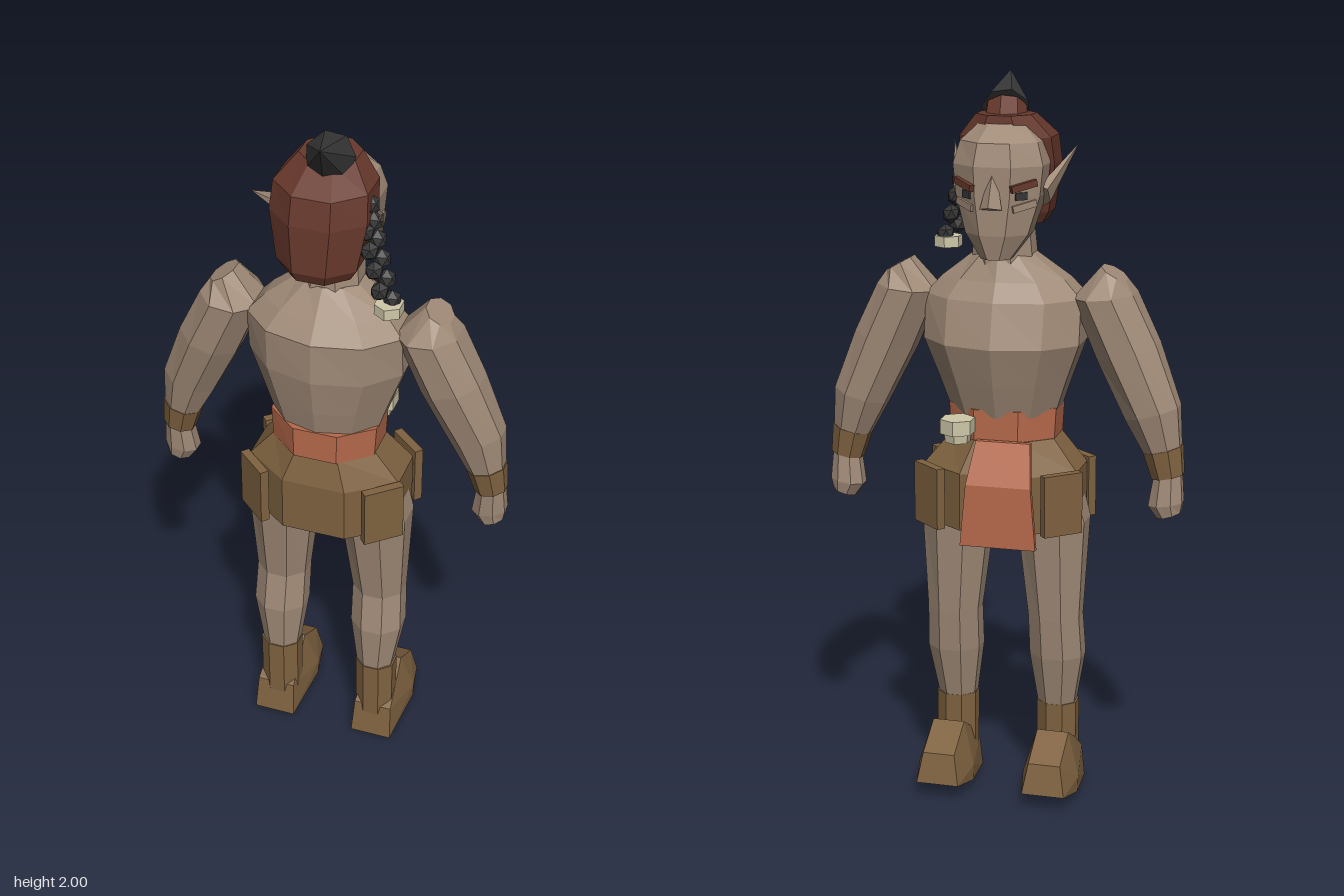
import * as THREE from 'three';
import { ConvexGeometry } from 'three/addons/geometries/ConvexGeometry.js';

const paint = (name, color) => {
  const m = new THREE.MeshStandardMaterial({ color, flatShading: true });
  m.name = name;
  return m;
};

// Capped loft, bottom to top. Ring: [x, y, z, radiusX, radiusZ, tilt about z]
function loft(rings, n = 8) {
  const pos = [];
  const k = 1 / Math.cos(Math.PI / n);
  const pts = rings.map(([x, y, z, rx, rz, t = 0]) =>
    Array.from({ length: n }, (_, i) => {
      const a = ((i + 0.5) / n) * Math.PI * 2;
      const u = Math.cos(a) * rx * k;
      return [x + u * Math.cos(t), y + u * Math.sin(t), z + Math.sin(a) * rz * k];
    }));
  const tri = (a, b, c) => pos.push(...a, ...b, ...c);
  const last = rings.length - 1;
  for (let i = 0; i < n; i++) {
    const j = (i + 1) % n;
    for (let r = 0; r < last; r++) {
      tri(pts[r][i], pts[r + 1][i], pts[r + 1][j]);
      tri(pts[r][i], pts[r + 1][j], pts[r][j]);
    }
    tri(rings[0].slice(0, 3), pts[0][i], pts[0][j]);
    tri(rings[last].slice(0, 3), pts[last][j], pts[last][i]);
  }
  const g = new THREE.BufferGeometry();
  g.setAttribute('position', new THREE.Float32BufferAttribute(pos, 3));
  g.computeVertexNormals();
  return g;
}

// Tapered rod from a to b, optionally flattened
function rod(a, b, r0, r1, n, flat = 1) {
  const A = new THREE.Vector3(...a), B = new THREE.Vector3(...b);
  const d = B.clone().sub(A);
  const g = new THREE.CylinderGeometry(r1, r0, d.length(), n);
  g.scale(flat, 1, 1);
  g.applyQuaternion(new THREE.Quaternion().setFromUnitVectors(new THREE.Vector3(0, 1, 0), d.normalize()));
  const c = A.add(B).multiplyScalar(0.5);
  return g.translate(c.x, c.y, c.z);
}

const box = (w, h, d, x, y, z, ry = 0, rz = 0) =>
  new THREE.BoxGeometry(w, h, d).rotateZ(rz).rotateY(ry).translate(x, y, z);

export function createModel() {
  const model = new THREE.Group();
  const skin = paint('skin', 0xa08a77);
  const hair = paint('red brown hair', 0x67382c);
  const dark = paint('dark hair', 0x363636);
  const leather = paint('brown leather', 0x7f6240);
  const cloth = paint('orange cloth', 0xb5694b);
  const bone = paint('bone', 0xcfc8a8);
  const add = (name, geo, mat) => {
    const m = new THREE.Mesh(geo, mat);
    m.name = name;
    model.add(m);
  };

  // Trunk
  add('torso', loft([
    [0, 1.1, 0.015, 0.145, 0.115], [0, 1.19, 0.01, 0.175, 0.138], [0, 1.3, 0.003, 0.215, 0.163],
    [0, 1.42, 0.02, 0.215, 0.148], [0, 1.47, 0.015, 0.17, 0.115], [0, 1.54, 0, 0.08, 0.075],
  ], 10), skin);
  add('neck', loft([[0, 1.5, 0, 0.085, 0.08], [0, 1.66, -0.01, 0.072, 0.07]]), skin);
  add('belt', loft([[0, 1.03, 0.02, 0.145, 0.123], [0, 1.12, 0.02, 0.15, 0.123]]), cloth);
  add('skirt', loft([
    [0, 0.79, 0.005, 0.215, 0.155], [0, 0.95, 0.005, 0.215, 0.155], [0, 1.035, 0.015, 0.145, 0.12],
  ]), leather);

  // Loincloth hanging at the face side, bent over the skirt
  const panel = [[1.04, -0.1, 0.05, -0.12], [0.93, -0.115, 0.065, -0.175], [0.76, -0.13, 0.08, -0.18]];
  for (let i = 0; i < 2; i++) {
    const pts = [panel[i], panel[i + 1]].flatMap(([y, x0, x1, z]) =>
      [x0, x1].flatMap(x => [new THREE.Vector3(x, y, z - 0.005), new THREE.Vector3(x, y, z + 0.012)]));
    add('loincloth', new ConvexGeometry(pts), cloth);
  }
  add('beltCup', loft([
    [0.1, 1.035, -0.125, 0.03, 0.032], [0.1, 1.06, -0.125, 0.033, 0.035],
    [0.1, 1.06, -0.125, 0.042, 0.045], [0.1, 1.1, -0.125, 0.042, 0.045],
  ], 6), bone);

  for (const s of [1, -1]) {
    const side = s > 0 ? 'left' : 'right';
    const limb = rings => loft(rings.map(([x, y, z, rx, rz, t = 0]) => [x * s, y, z, rx, rz, t * s]));

    // Skirt corner flaps
    for (const f of [1, -1])
      add(side + 'SkirtFlap', box(0.115, 0.17, 0.025, s * 0.185, 0.875, f * 0.115 + 0.003, s * f * 0.72), leather);

    // Arm, wristband and hand
    add(side + 'Arm', limb([
      [0.44, 1.015, 0, 0.05, 0.048, 0.25], [0.41, 1.12, 0, 0.074, 0.067, 0.28], [0.34, 1.28, 0.012, 0.083, 0.085, 0.3],
      [0.272, 1.43, 0.014, 0.083, 0.092, 0.1], [0.298, 1.492, 0.012, 0.038, 0.05, -0.5],
    ]), skin);
    add(side + 'Wristband', limb([
      [0.455, 0.945, -0.003, 0.043, 0.042, 0.2], [0.44, 1.02, 0, 0.053, 0.051, 0.25],
    ]), leather);
    add(side + 'Hand', limb([
      [0.462, 0.838, -0.01, 0.033, 0.036, 0.3], [0.452, 0.87, -0.01, 0.047, 0.042, 0.15],
      [0.455, 0.95, -0.003, 0.038, 0.038, 0.2],
    ]), skin);

    // Leg and boot
    add(side + 'Leg', limb([
      [0.145, 0.24, 0.03, 0.05, 0.048], [0.148, 0.4, 0.018, 0.074, 0.07],
      [0.145, 0.52, 0.002, 0.072, 0.068], [0.135, 0.8, 0.012, 0.095, 0.1], [0.125, 0.9, 0.01, 0.08, 0.1],
    ]), skin);
    add(side + 'BootShaft', limb([[0.147, 0.05, 0.03, 0.055, 0.05], [0.147, 0.255, 0.03, 0.056, 0.052]]), leather);
    const foot = [
      [0.06, 0, 0.093], [0.078, 0.025, -0.08], [0.06, 0.045, -0.178], [0.08, 0.07, -0.08], [0.045, 0.13, -0.16],
      [0.045, 0.19, -0.055], [0.05, 0.155, 0], [0.055, 0.1, 0.075],
    ].flatMap(([w, y, z]) => [1, -1].map(e => new THREE.Vector3(s * 0.152 + e * w, y, z)));
    add(side + 'Foot', new ConvexGeometry(foot), leather);

    // Ear and face details
    add(side + 'Ear', rod([s * 0.112, 1.695, -0.03], [s * 0.172, 1.815, 0.115], 0.042, 0.001, 5, 0.5), skin);
    add(side + 'Brow', box(0.075, 0.018, 0.022, s * 0.078, 1.732, -0.118, s * -0.72, s * 0.2), hair);
    add(side + 'Eye', box(0.034, 0.02, 0.009, s * 0.073, 1.705, -0.118, s * -0.72), dark);
    add(side + 'Cheek', box(0.07, 0.018, 0.02, s * 0.077, 1.678, -0.108, s * -0.72, s * 0.2), skin);
  }

  // Head
  add('head', loft([
    [0, 1.535, -0.09, 0.04, 0.04], [0, 1.6, -0.06, 0.085, 0.08], [0, 1.7, -0.04, 0.114, 0.1],
    [0, 1.78, -0.038, 0.122, 0.102], [0, 1.84, -0.03, 0.105, 0.095], [0, 1.885, -0.015, 0.06, 0.06],
  ]), skin);
  add('nose', rod([0, 1.76, -0.128], [0, 1.672, -0.152], 0.01, 0.03, 4), skin);

  // Hair cap, bun and spike
  add('hairCap', loft([
    [0, 1.61, 0.085, 0.09, 0.085], [0, 1.64, 0.085, 0.108, 0.098], [0, 1.77, 0.065, 0.13, 0.112],
    [0, 1.845, 0.045, 0.125, 0.115], [0, 1.905, 0.01, 0.075, 0.075],
  ]), hair);
  add('hairBun', rod([0, 1.85, 0], [0.012, 1.915, 0.055], 0.064, 0.056, 8), hair);
  add('hairSpike', rod([0.012, 1.912, 0.052], [0.033, 2, 0.185], 0.066, 0.001, 7), dark);

  // Braid of paired strands, ending in a bone ring
  const path = new THREE.QuadraticBezierCurve3(
    new THREE.Vector3(0.105, 1.82, 0.06), new THREE.Vector3(0.135, 1.72, 0.095), new THREE.Vector3(0.185, 1.56, 0.108));
  for (let i = 0; i < 12; i++) {
    const p = path.getPoint(i / 11), e = i % 2 ? 1 : -1;
    const g = new THREE.IcosahedronGeometry(0.028, 0).scale(0.9, 1, 0.9).rotateZ(e * 0.5);
    add('braidStrand', g.translate(p.x + e * 0.01, p.y, p.z - e * 0.01), dark);
  }
  add('braidRing', loft([[0.19, 1.525, 0.108, 0.034, 0.036], [0.19, 1.555, 0.108, 0.034, 0.036]], 6), bone);

  return model;
}
